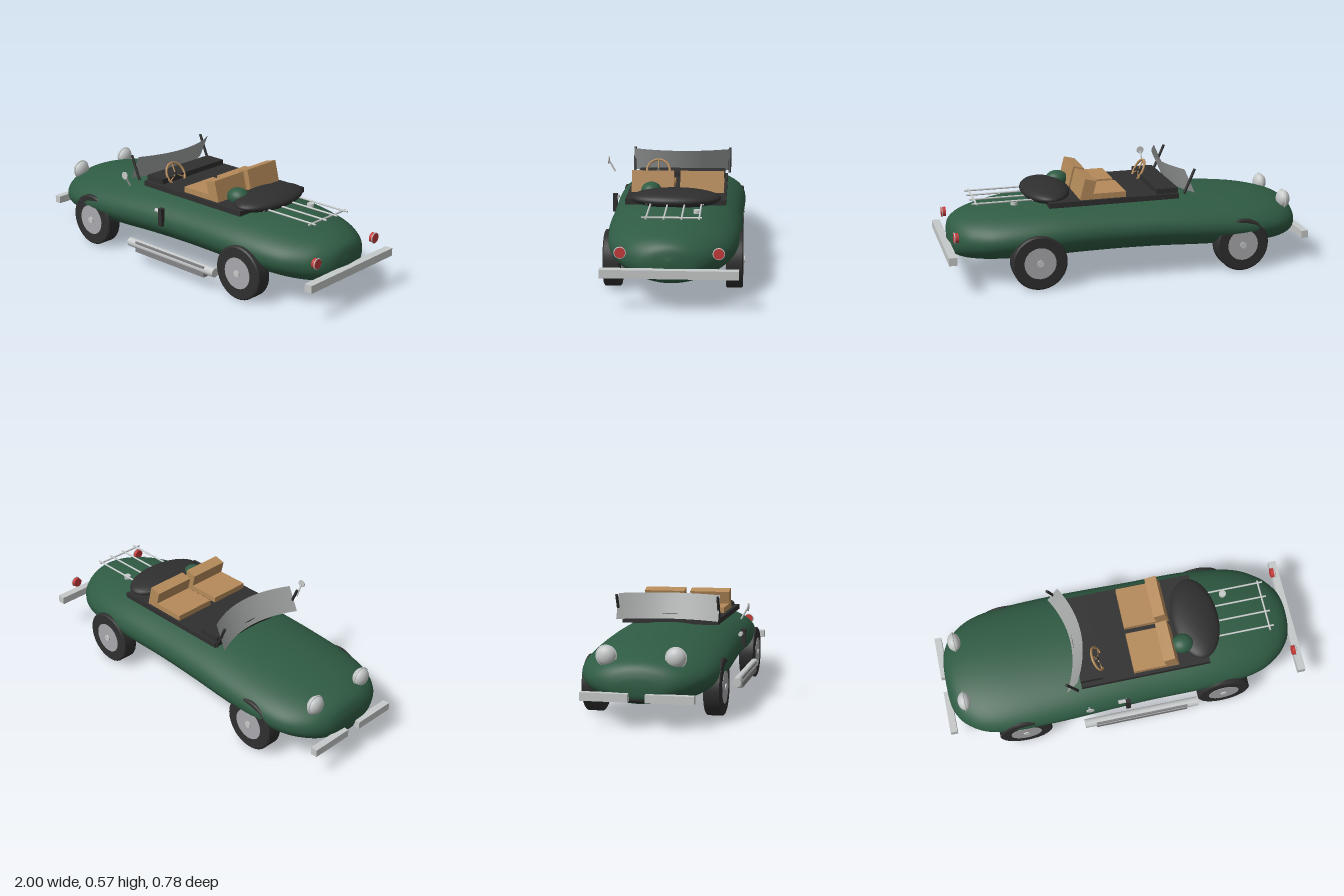
import * as THREE from 'three';

const mat = (name, color, extra = {}) => {
  const m = new THREE.MeshStandardMaterial({ color, ...extra });
  m.name = name;
  return m;
};
const V = (x, y, z) => new THREE.Vector3(x, y, z);
const MID = -0.028; // z of the car's centre line

// Smooth hull lofted from elliptical sections: [x, bottom, top, half width]
function hullGeometry() {
  const stations = [
    [-0.975, 0.19, 0.21, 0.02], [-0.97, 0.15, 0.25, 0.12], [-0.95, 0.125, 0.295, 0.19],
    [-0.9, 0.105, 0.328, 0.262], [-0.8, 0.092, 0.358, 0.327], [-0.65, 0.088, 0.385, 0.358],
    [-0.4, 0.095, 0.41, 0.364], [-0.15, 0.106, 0.426, 0.358], [0.12, 0.11, 0.43, 0.35],
    [0.4, 0.108, 0.426, 0.349], [0.6, 0.105, 0.41, 0.335], [0.75, 0.107, 0.387, 0.303],
    [0.85, 0.113, 0.365, 0.247], [0.91, 0.125, 0.342, 0.19], [0.95, 0.15, 0.308, 0.12],
    [0.965, 0.21, 0.25, 0.02],
  ];
  const spine = new THREE.CatmullRomCurve3(
    stations.map(([x, b, t]) => V(x, (b + t) / 2, (t - b) / 2)), false, 'catmullrom');
  const width = new THREE.CatmullRomCurve3(
    stations.map(([x, , , w]) => V(x, w, 0)), false, 'catmullrom');
  const rings = 75, sides = 64, pos = [], idx = [];
  for (let i = 0; i <= rings; i++) {
    const p = spine.getPoint(i / rings), w = width.getPoint(i / rings).y;
    for (let j = 0; j < sides; j++) {
      const a = (j / sides) * Math.PI * 2;
      pos.push(p.x, p.y + p.z * Math.cos(a), MID + w * Math.sin(a));
      if (i === rings) continue;
      const q = i * sides + j, r = i * sides + (j + 1) % sides;
      idx.push(q, r, q + sides, r, r + sides, q + sides);
    }
  }
  // end caps
  for (let j = 1; j < sides - 1; j++) {
    const e = rings * sides;
    idx.push(0, j + 1, j, e, e + j, e + j + 1);
  }
  const g = new THREE.BufferGeometry();
  g.setAttribute('position', new THREE.Float32BufferAttribute(pos, 3));
  g.setIndex(idx);
  g.computeVertexNormals();
  return g;
}

export function createModel() {
  const car = new THREE.Group();
  car.name = 'roadster';
  const green = mat('greenPaint', 0x2f5b43);
  const black = mat('blackTrim', 0x2f2f2f);
  const tan = mat('tanLeather', 0xb58a5a);
  const chrome = mat('chrome', 0xc6c9c9);
  const steel = mat('wheelSteel', 0xa9a9ad);
  const grey = mat('mufflerGrey', 0x848486);
  const glass = mat('glass', 0xa4a6a6, { side: THREE.DoubleSide });
  const red = mat('redLens', 0xc73a3a);

  const add = (name, geo, m, x = 0, y = 0, z = 0, parent = car) => {
    const mesh = new THREE.Mesh(geo, m);
    mesh.name = name;
    mesh.position.set(x, y, z);
    parent.add(mesh);
    return mesh;
  };
  // box given by its minimum and maximum corners
  const box = (name, m, [x0, y0, z0], [x1, y1, z1]) =>
    add(name, new THREE.BoxGeometry(x1 - x0, y1 - y0, z1 - z0), m,
      (x0 + x1) / 2, (y0 + y1) / 2, (z0 + z1) / 2);
  // round bar between two points
  const rod = (name, m, a, b, r, parent = car) => {
    const d = b.clone().sub(a), c = a.clone().add(b).multiplyScalar(0.5);
    const mesh = add(name, new THREE.CylinderGeometry(r, r, d.length(), 24), m, c.x, c.y, c.z, parent);
    mesh.quaternion.setFromUnitVectors(V(0, 1, 0), d.normalize());
    return mesh;
  };
  const ellipsoid = (name, m, x, y, z, rx, ry, rz) => {
    const mesh = add(name, new THREE.SphereGeometry(1, 40, 24), m, x, y, z);
    mesh.scale.set(rx, ry, rz);
    return mesh;
  };

  // Body and nose opening
  add('body', hullGeometry(), green);
  ellipsoid('noseOpening', black, -0.935, 0.138, MID, 0.03, 0.02, 0.13);

  // Wheels
  for (const x of [-0.59, 0.53]) for (const z of [0.286, -0.338]) {
    const wheel = new THREE.Group();
    wheel.name = 'wheel';
    wheel.position.set(x, 0.146, z);
    car.add(wheel);
    const tyre = [[0, -0.044], [0.138, -0.044], [0.146, -0.038], [0.146, 0.038], [0.138, 0.044], [0, 0.044]];
    // doubled points keep the tyre's edges crisp
    const profile = tyre.flatMap(([r, y]) => [new THREE.Vector2(r, y), new THREE.Vector2(r, y)]).slice(1, -1);
    add('tyre', new THREE.LatheGeometry(profile, 56), black, 0, 0, 0, wheel).rotation.x = Math.PI / 2;
    rod('wheelDisc', steel, V(0, 0, -0.046), V(0, 0, 0.046), 0.085, wheel);
    rod('hubCap', chrome, V(0, 0, -0.052), V(0, 0, 0.052), 0.018, wheel);
  }

  // Cockpit deck, dashboard and folded hood
  box('cockpitDeck', black, [-0.25, 0.41, -0.29], [0.457, 0.438, 0.232]);
  box('dashboard', black, [-0.25, 0.43, -0.275], [-0.13, 0.466, 0.208]);
  ellipsoid('foldedHood', black, 0.43, 0.443, MID, 0.128, 0.048, 0.235);
  ellipsoid('headrest', green, 0.33, 0.457, 0.105, 0.062, 0.047, 0.054);

  // Seats
  for (const [z0, z1] of [[-0.275, -0.044], [-0.01, 0.213]]) {
    box('seatCushion', tan, [0.04, 0.43, z0], [0.27, 0.468, z1]);
    add('seatBack', new THREE.BoxGeometry(0.063, 0.115, z1 - z0), tan, 0.245, 0.488, (z0 + z1) / 2)
      .rotation.z = 0.25;
  }

  // Steering wheel
  const steering = new THREE.Group();
  steering.name = 'steeringWheel';
  steering.position.set(-0.138, 0.472, 0.1);
  steering.rotation.z = 0.5;
  car.add(steering);
  add('rim', new THREE.TorusGeometry(0.064, 0.0065, 12, 48), tan, 0, 0, 0, steering).rotation.y = Math.PI / 2;
  for (let i = 0; i < 3; i++) {
    const a = Math.PI / 2 + i * Math.PI * 2 / 3;
    rod('spoke', tan, V(0, 0, 0), V(0, 0.062 * Math.sin(a), 0.062 * Math.cos(a)), 0.004, steering);
  }
  rod('steeringColumn', black, V(-0.08, 0, 0), V(0.005, 0, 0), 0.01, steering);

  // Curved windscreen and its posts
  const screen = new THREE.PlaneGeometry(0.55, 0.133, 32, 4);
  const sp = screen.attributes.position;
  for (let i = 0; i < sp.count; i++) {
    const s = sp.getX(i), h = sp.getY(i);
    sp.setXYZ(i, -0.2 - 0.075 * (s / 0.275) ** 2 - 0.06 * (0.5 - h / 0.133), 0.506 + h, MID + s);
  }
  screen.computeVertexNormals();
  add('windscreen', screen, glass);
  for (const s of [-1, 1]) {
    const z = MID + s * 0.272;
    rod('screenPost', black, V(-0.275, 0.438, z), V(-0.333, 0.57, z), 0.0075);
  }

  // Headlamps and tail lamps
  for (const s of [-1, 1]) {
    const hz = -0.034 + s * 0.174, tz = -0.026 + s * 0.238;
    ellipsoid('headlamp', chrome, -0.885, 0.335, hz, 0.036, 0.05, 0.05);
    add('headlampRing', new THREE.TorusGeometry(0.05, 0.005, 10, 40), chrome, -0.885, 0.335, hz)
      .rotation.y = Math.PI / 2;
    rod('tailLamp', red, V(0.935, 0.286, tz), V(0.959, 0.286, tz), 0.026);
    add('tailLampRing', new THREE.TorusGeometry(0.027, 0.003, 8, 40), chrome, 0.955, 0.286, tz)
      .rotation.y = Math.PI / 2;
  }

  // Bumpers
  box('rearBumper', chrome, [0.957, 0.17, -0.362], [1, 0.212, 0.31]);
  box('frontBumper', chrome, [-1, 0.13, -0.315], [-0.962, 0.171, -0.075]);
  box('frontBumper', chrome, [-1, 0.13, 0.01], [-0.962, 0.171, 0.25]);

  // Luggage rack and fuel cap
  for (const z of [-0.165, -0.079, 0.008, 0.095])
    rod('rackBar', chrome, V(0.45, 0.43, z), V(0.845, 0.43, z), 0.005);
  for (const x of [0.52, 0.82])
    rod('rackCrossbar', chrome, V(x, 0.43, -0.178), V(x, 0.43, 0.12), 0.005);
  rod('fuelCap', chrome, V(0.617, 0.405, -0.147), V(0.617, 0.423, -0.147), 0.019);

  // Side exhaust
  rod('exhaustPipe', chrome, V(-0.262, 0.105, 0.334), V(0.38, 0.105, 0.334), 0.025);
  box('muffler', grey, [-0.2, 0.067, 0.328], [0.318, 0.126, 0.357]);

  // Door strap, handle and wing mirror
  box('doorStrap', black, [-0.03, 0.262, 0.32], [-0.005, 0.362, 0.345]);
  rod('doorHandle', chrome, V(-0.07, 0.337, 0.322), V(-0.02, 0.337, 0.322), 0.011);
  rod('mirrorArm', chrome, V(-0.235, 0.445, 0.353), V(-0.235, 0.505, 0.387), 0.005);
  rod('mirror', chrome, V(-0.235, 0.51, 0.387), V(-0.235, 0.51, 0.393), 0.021);

  return car;
}
